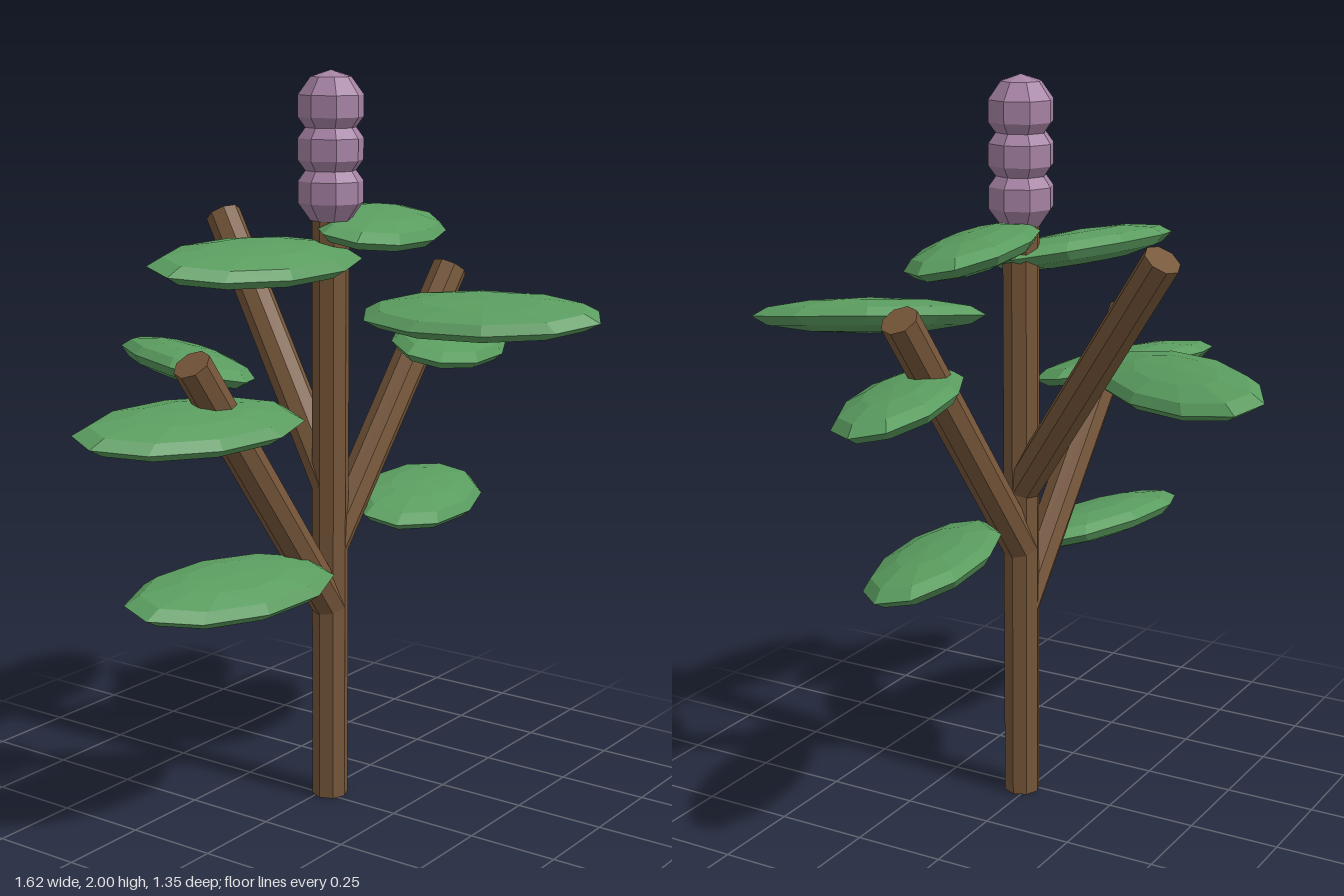
import * as THREE from 'three';

const mat = (name, color) => {
  const m = new THREE.MeshStandardMaterial({ color, flatShading: true });
  m.name = name;
  return m;
};

export function createModel() {
  const group = new THREE.Group();
  const bark = mat('bark brown', 0x765639);
  const leafGreen = mat('leaf green', 0x5a9c5f);
  const budPurple = mat('bud purple', 0xa683a5);

  const add = (name, geometry, material) => {
    const mesh = new THREE.Mesh(geometry, material);
    mesh.name = name;
    group.add(mesh);
    return mesh;
  };

  // Straight round limb between two points
  const limb = (name, from, to) => {
    const a = new THREE.Vector3(...from);
    const dir = new THREE.Vector3(...to).sub(a);
    const mesh = add(name, new THREE.CylinderGeometry(0.05, 0.05, dir.length(), 8), bark);
    mesh.position.copy(a).addScaledVector(dir, 0.5);
    mesh.quaternion.setFromUnitVectors(new THREE.Vector3(0, 1, 0), dir.normalize());
  };

  // Trunk and three branches
  limb('trunk', [0.02, 0, 0.02], [0.02, 1.63, 0.02]);
  limb('leftwardBranch', [0.02, 0.55, 0.02], [-0.5, 1.295, -0.03]);
  limb('rightwardBranch', [0.02, 0.72, 0.02], [0.5, 1.44, 0.09]);
  limb('backBranch', [0.02, 0.89, 0.02], [0.165, 1.585, -0.46]);

  // Stack of flower buds
  for (let i = 0; i < 3; i++) {
    add('flowerBud', new THREE.SphereGeometry(0.092, 8, 5), budPurple)
      .position.set(0.02, 1.685 + i * 0.1115, 0.02);
  }

  // Flattened blunt-tipped leaves: centre x, y, z and heading in degrees from +x towards +z
  const leafGeometry = new THREE.SphereGeometry(1, 10, 6)
    .rotateY(Math.PI / 2)
    .scale(0.325, 0.048, 0.155);
  const leaves = [
    [-0.385, 0.69, 0, 13],
    [0.405, 0.79, 0.06, -13],
    [-0.505, 1.135, -0.03, 20],
    [-0.095, 1.205, -0.385, -61],
    [0.5, 1.23, 0.095, -19],
    [0.2, 1.365, 0.38, 59],
    [-0.225, 1.52, -0.035, 16],
    [0.235, 1.575, 0.035, -14],
  ];
  for (const [x, y, z, heading] of leaves) {
    const leaf = add('leaf', leafGeometry, leafGreen);
    leaf.position.set(x, y, z);
    leaf.rotation.set(0.2, -THREE.MathUtils.degToRad(heading), 0, 'YXZ');
  }

  return group;
}
